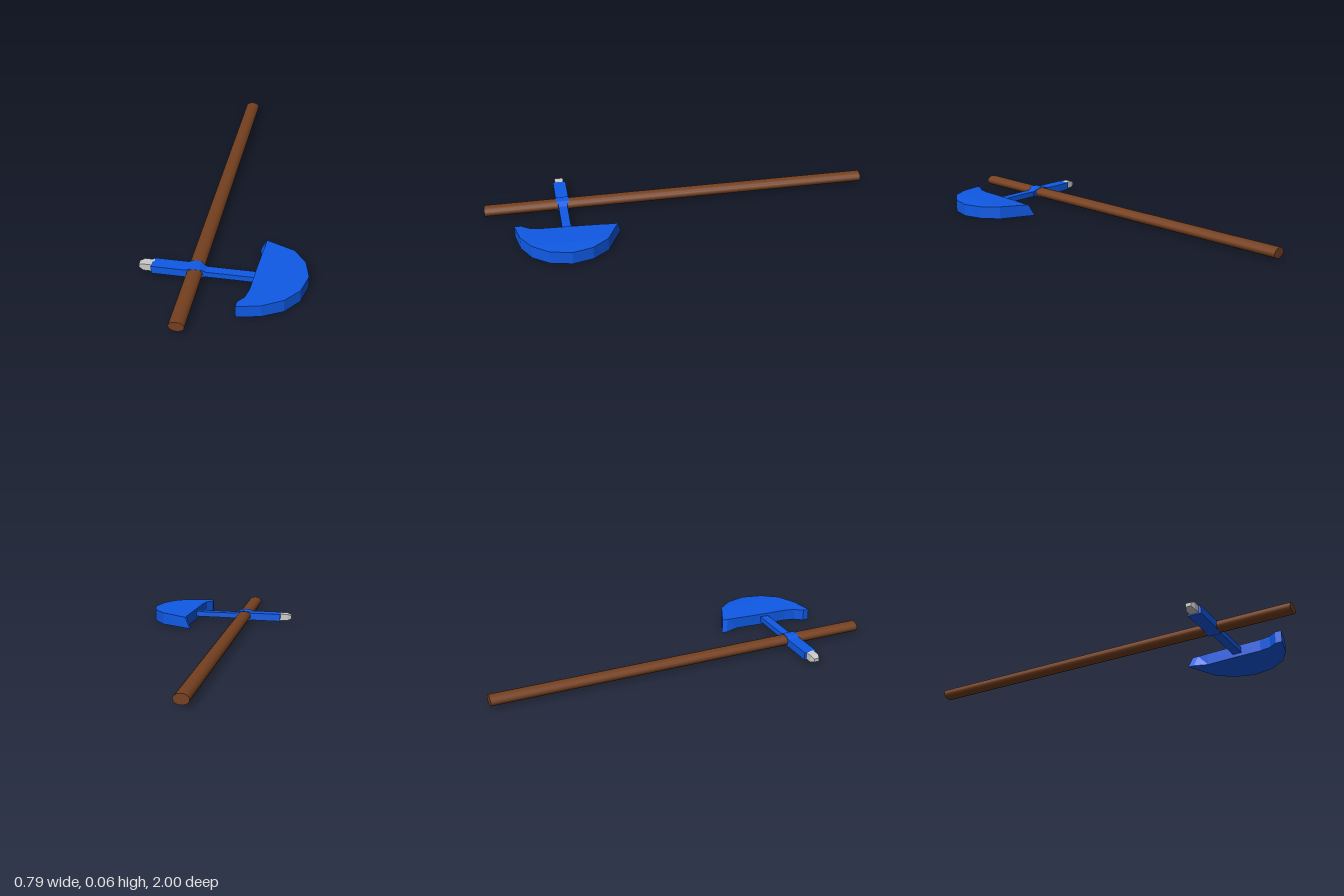
import * as THREE from 'three';

const blue = new THREE.MeshStandardMaterial({ color: 0x0f5ae6, flatShading: true });
const brown = new THREE.MeshStandardMaterial({ color: 0x75401f });
const grey = new THREE.MeshStandardMaterial({ color: 0xcccccc, flatShading: true });

const shapeOf = (points) => new THREE.Shape(points.map(([x, y]) => new THREE.Vector2(x, y)));
const extrude = (points, depth) =>
  new THREE.ExtrudeGeometry(shapeOf(points), { depth, bevelEnabled: false });

// Move every vertex of a geometry by a rule
function reshape(geometry, rule) {
  const p = geometry.attributes.position;
  const v = new THREE.Vector3();
  for (let i = 0; i < p.count; i++) {
    rule(v.fromBufferAttribute(p, i));
    p.setXYZ(i, v.x, v.y, v.z);
  }
  geometry.computeVertexNormals();
  return geometry;
}

export function createModel() {
  const group = new THREE.Group();
  const add = (name, geometry, material) => {
    const mesh = new THREE.Mesh(geometry, material);
    mesh.name = name;
    group.add(mesh);
    return mesh;
  };

  // Long oval shaft
  const shaft = new THREE.CylinderGeometry(1, 1, 2, 16).rotateX(Math.PI / 2);
  shaft.scale(0.037, 0.026, 1).translate(-0.132, 0.034, 0);
  add('shaft', shaft, brown);

  // Rear socket swelling into a collar around the shaft
  const socket = extrude([
    [-0.338, 0.012], [-0.172, 0.012], [-0.155, 0.008], [-0.132, 0.006], [-0.11, 0.008], [-0.092, 0.017],
    [-0.08, 0.019], [-0.08, 0.045], [-0.092, 0.051], [-0.11, 0.06], [-0.132, 0.062], [-0.155, 0.06],
    [-0.172, 0.052], [-0.338, 0.052],
  ], 0.066).translate(0, 0, 0.571);
  reshape(socket, (v) => {
    if (v.x > -0.1) v.z = 0.605 + (v.z - 0.605) * 0.7;
  });
  add('socket', socket, blue);

  // Slim arm between collar and blade
  add('arm', new THREE.BoxGeometry(0.25, 0.028, 0.045), blue).position.set(0.035, 0.031, 0.605);

  // Blunt tip with a tapered end
  const tip = new THREE.BoxGeometry(0.07, 0.036, 0.044, 2, 1, 1);
  reshape(tip, (v) => {
    if (v.x < -0.01) {
      v.y *= 0.5;
      v.z *= 0.6;
    } else if (v.x < 0.01) v.x = -0.013;
  });
  add('tip', tip, grey).position.set(-0.365, 0.034, 0.604);

  // Crescent blade, outlined as [x, z]
  const outline = [
    [0.135, 0.34], [0.305, 0.42], [0.368, 0.5], [0.394, 0.6], [0.368, 0.705], [0.305, 0.785], [0.21, 0.835],
    [0.1, 0.857], [0.1, 0.825], [0.13, 0.785], [0.142, 0.73], [0.148, 0.6], [0.158, 0.44], [0.135, 0.37],
  ];
  const blade = extrude(outline.map(([x, z]) => [x, -z]), 0.06).rotateX(-Math.PI / 2);
  reshape(blade, (v) => {
    if (v.y < 0.03) return;
    // The top crowns slightly and its rear horn is cut back
    v.y = 0.06 + 0.005 * Math.max(0, 1 - Math.abs(v.x - 0.305) / 0.15);
    if (v.z < 0.4 && v.x < 0.2) {
      v.x = 0.163;
      v.z += 0.016;
    }
  });
  add('blade', blade, blue);

  return group;
}
